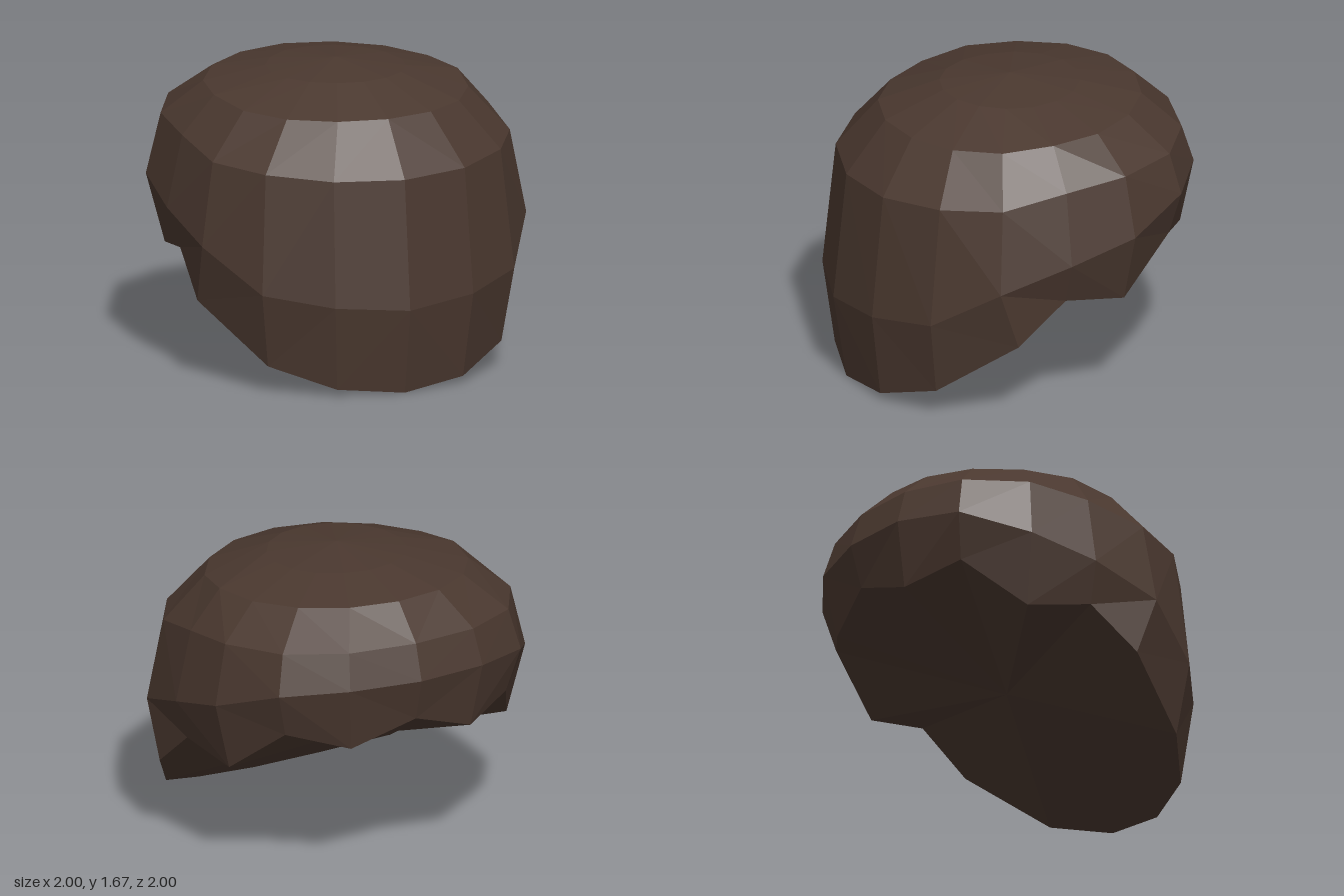
import * as THREE from 'three';

// Half rings from the front centre round the +x side to the back centre: [x, y, z]
const ringA = arc(0.385, 0.385, -0.02, [1.62, 1.62, 1.62, 1.62, 1.62, 1.625, 1.63, 1.635, 1.635]);
const ringB = arc(0.725, 0.72, -0.02, [1.49, 1.49, 1.49, 1.50, 1.53, 1.54, 1.555, 1.565, 1.57]);
const ringC = [
  [0, 1.2, 0.925], [0.39, 1.21, 0.85], [0.7, 1.23, 0.63], [0.885, 1.25, 0.33], [0.91, 1.32, -0.03],
  [0.885, 1.36, -0.38], [0.7, 1.375, -0.7], [0.385, 1.385, -0.88], [0, 1.39, -0.935],
];
const ringD = [
  [0, 0.48, 1], [0.41, 0.515, 0.92], [0.75, 0.57, 0.7], [0.965, 0.79, 0.37], [1, 0.92, -0.03],
  [0.96, 1.02, -0.41], [0.75, 1.15, -0.75], [0.41, 1.185, -0.94], [0, 1.19, -1],
];
// Jagged lower edge
const rim = [
  [0, 0, 0.925], [0.375, 0.04, 0.86], [0.695, 0.155, 0.65], [0.945, 0.46, 0.26], [0.925, 0.69, -0.02],
  [0.86, 0.63, -0.38], [0.685, 0.9, -0.7], [0.37, 0.82, -0.875], [0, 0.95, -0.935],
];

// Elliptical half ring with its own height at each column
function arc(rx, rz, zc, heights) {
  return heights.map((y, i) => {
    const a = (i * Math.PI) / 8;
    return [rx * Math.sin(a), y, zc + rz * Math.cos(a)];
  });
}

// Mirror a half ring into a closed loop of 16 points
function fullRing(half) {
  const mirrored = half.slice(1, -1).reverse().map(([x, y, z]) => [-x, y, z]);
  return [...half, ...mirrored];
}

function mesh(name, triangles, material) {
  const geometry = new THREE.BufferGeometry();
  geometry.setAttribute('position', new THREE.Float32BufferAttribute(triangles.flat(), 3));
  geometry.computeVertexNormals(); // unshared corners give flat facets
  const m = new THREE.Mesh(geometry, material);
  m.name = name;
  return m;
}

export function createModel() {
  const group = new THREE.Group();
  group.name = 'hairCap';
  const brown = new THREE.MeshStandardMaterial({ color: 0x4a382f });
  brown.name = 'dark brown';

  const rings = [ringA, ringB, ringC, ringD, rim].map(fullRing);
  const count = 16;
  const apex = [0, 1.67, -0.02];
  const hub = [0, 0.52, -0.02];
  const shell = [];
  const underside = [];

  for (let j = 0; j < count; j++) {
    const k = (j + 1) % count;
    // Crown fan
    shell.push(apex, rings[0][j], rings[0][k]);
    // Bands between neighbouring rings
    for (let i = 0; i < rings.length - 1; i++) {
      const up = rings[i], low = rings[i + 1];
      // Diagonals mirrored on the two halves
      if (j < count / 2) shell.push(up[j], low[j], low[k], up[j], low[k], up[k]);
      else shell.push(up[j], low[j], up[k], up[k], low[j], low[k]);
    }
    // Pleated fan closing the bottom
    underside.push(rings[4][k], rings[4][j], hub);
  }

  group.add(mesh('hairShell', shell, brown), mesh('underside', underside, brown));
  return group;
}
